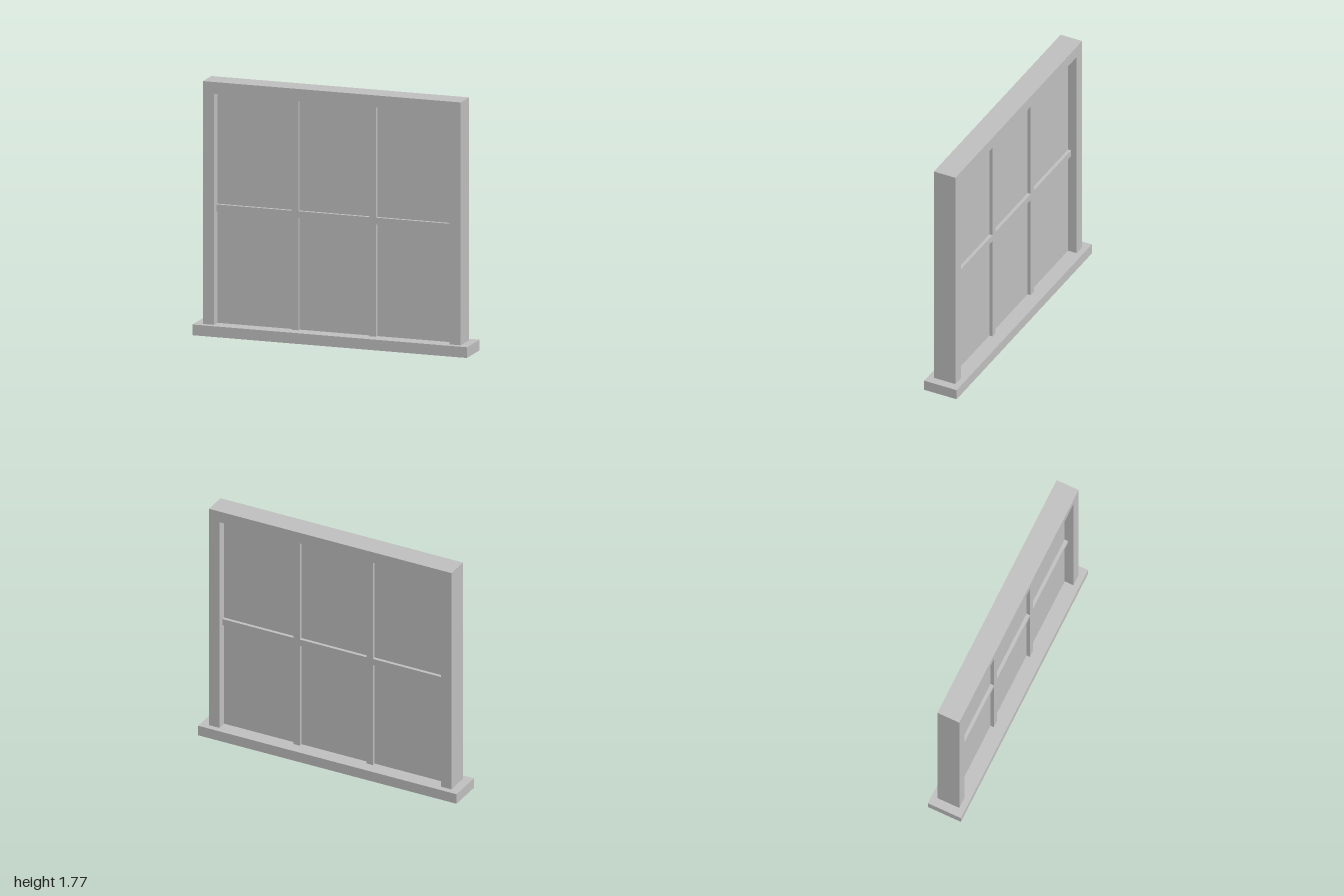
import * as THREE from 'three';

export function createModel() {
  const model = new THREE.Group();
  model.name = 'window';
  const grey = new THREE.MeshStandardMaterial({ color: 0xc0c0c0 });
  grey.name = 'plain grey';

  const sillTop = 0.075, top = 1.775, openTop = 1.692;
  const outer = 0.938, inner = 0.857;
  const barWidth = 0.048, barDepth = 0.08, barX = 0.283, barY = 0.885;

  // Box given by its x range, y range and depth, centred on z = 0
  function box(name, x0, x1, y0, y1, depth, parent = model) {
    const mesh = new THREE.Mesh(new THREE.BoxGeometry(x1 - x0, y1 - y0, depth), grey);
    mesh.position.set((x0 + x1) / 2, (y0 + y1) / 2, 0);
    mesh.name = name;
    parent.add(mesh);
  }

  box('sill', -1, 1, 0, sillTop, 0.25);

  // Two jambs and the head, cut as one piece
  const outline = new THREE.Shape([
    [-outer, sillTop], [-inner, sillTop], [-inner, openTop], [inner, openTop],
    [inner, sillTop], [outer, sillTop], [outer, top], [-outer, top],
  ].map(([x, y]) => new THREE.Vector2(x, y)));
  const frameDepth = 0.166;
  const frameGeometry = new THREE.ExtrudeGeometry(outline, { depth: frameDepth, bevelEnabled: false });
  frameGeometry.translate(0, 0, -frameDepth / 2);
  const frame = new THREE.Mesh(frameGeometry, grey);
  frame.name = 'frame';
  model.add(frame);

  box('pane', -inner, inner, sillTop, openTop, 0.032);

  // Glazing bars: two uprights, with the crossbar fitted between them
  const bars = new THREE.Group();
  bars.name = 'glazingBars';
  model.add(bars);
  const half = barWidth / 2;
  for (const x of [-barX, barX]) {
    box('uprightBar', x - half, x + half, sillTop, openTop, barDepth, bars);
  }
  for (const [x0, x1] of [[-inner, -barX - half], [-barX + half, barX - half], [barX + half, inner]]) {
    box('crossBar', x0, x1, barY - half, barY + half, barDepth, bars);
  }

  return model;
}
